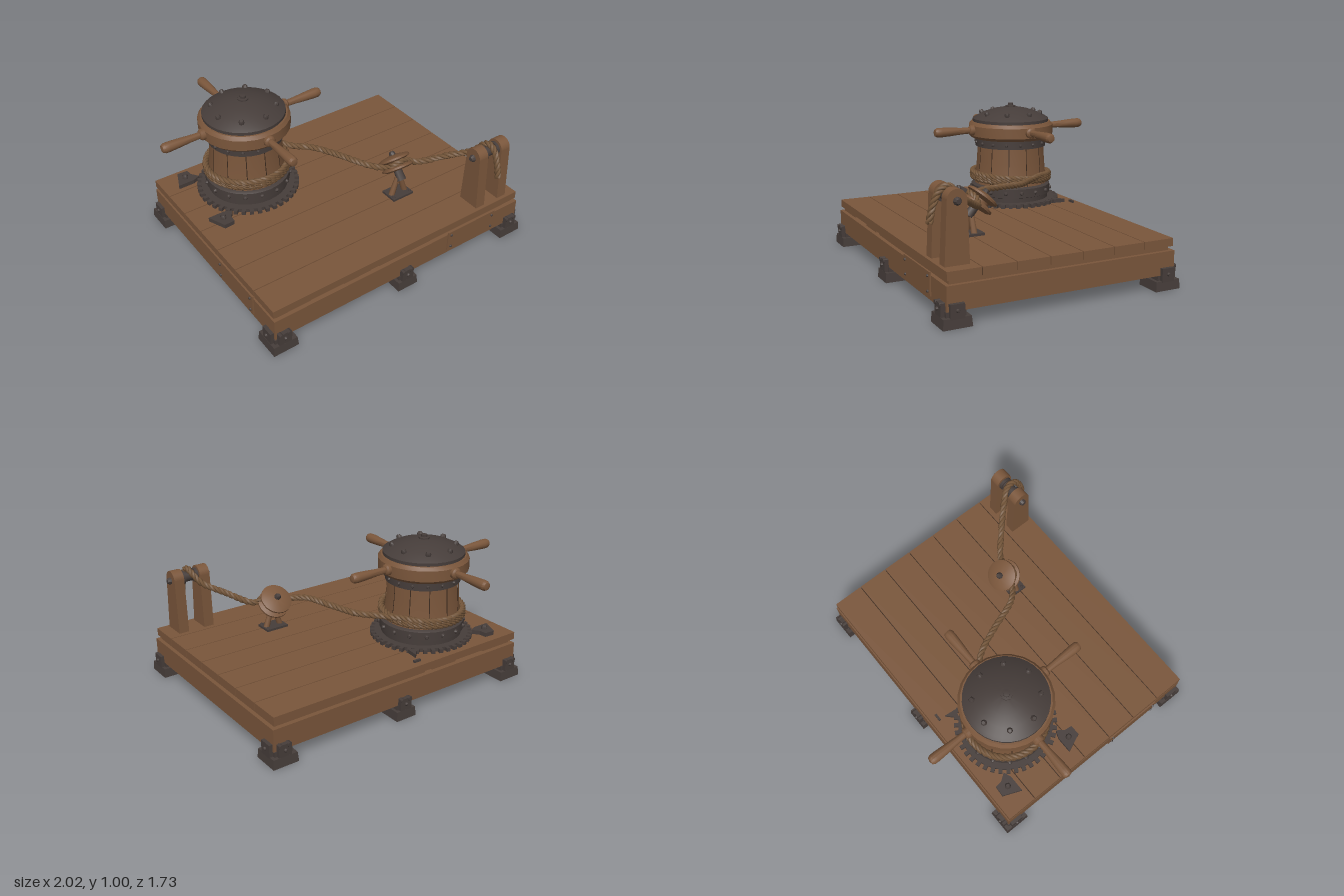
import * as THREE from 'three';
import { toCreasedNormals } from 'three/addons/utils/BufferGeometryUtils.js';

const wood = new THREE.MeshStandardMaterial({ color: 0x7a563b });
wood.name = 'wood';
const iron = new THREE.MeshStandardMaterial({ color: 0x463d3a });
iron.name = 'iron';
const hemp = new THREE.MeshStandardMaterial({ color: 0x735539 });
hemp.name = 'hemp';
const seam = new THREE.MeshStandardMaterial({ color: 0x3a291d });
seam.name = 'dark seam';

function add(parent, name, geo, mat, x = 0, y = 0, z = 0) {
  const m = new THREE.Mesh(geo, mat);
  m.name = name;
  m.position.set(x, y, z);
  parent.add(m);
  return m;
}
// box given by its minimum and maximum corners
function block(parent, name, mat, [x0, y0, z0], [x1, y1, z1]) {
  return add(parent, name, new THREE.BoxGeometry(x1 - x0, y1 - y0, z1 - z0), mat,
    (x0 + x1) / 2, (y0 + y1) / 2, (z0 + z1) / 2);
}
function lathe(pts, seg = 32, start = 0, len = Math.PI * 2) {
  const g = new THREE.LatheGeometry(pts.map(p => new THREE.Vector2(...p)), seg, start, len);
  return toCreasedNormals(g, 0.6);
}
function bolt(parent, x, y, z, r = 0.014, dir = [0, 1, 0]) {
  const m = add(parent, 'bolt', lathe([[r, -r], [r, r * 0.4], [r * 0.6, r], [0, r]], 8), iron, x, y, z);
  m.quaternion.setFromUnitVectors(new THREE.Vector3(0, 1, 0), new THREE.Vector3(...dir).normalize());
}
// three strands twisted around a path
function rope(parent, name, pts, radius, n) {
  const curve = new THREE.CatmullRomCurve3(pts.map(p => new THREE.Vector3(...p)));
  curve.arcLengthDivisions = 1000;
  const length = curve.getLength();
  const { normals, binormals } = curve.computeFrenetFrames(n);
  for (let k = 0; k < 3; k++) {
    const strand = [];
    for (let i = 0; i <= n; i++) {
      const a = (i / n) * length / 0.11 * Math.PI * 2 + k * Math.PI * 2 / 3;
      strand.push(curve.getPointAt(i / n)
        .addScaledVector(normals[i], Math.cos(a) * radius * 0.5)
        .addScaledVector(binormals[i], Math.sin(a) * radius * 0.5));
    }
    add(parent, name, new THREE.TubeGeometry(new THREE.CatmullRomCurve3(strand), n, radius * 0.55, 6), hemp);
  }
}

function buildPlatform() {
  const g = new THREE.Group();
  g.name = 'platform';
  block(g, 'baseFrame', wood, [-0.925, 0.09, -0.65], [0.975, 0.235, 0.835]);
  for (const [a, b] of [[-0.9, -0.66], [-0.42, -0.22], [-0.16, 0.95]])
    block(g, 'joist', wood, [a, 0.235, -0.62], [b, 0.26, 0.81]);
  for (let i = 0; i < 7; i++) {
    const z = -0.647 + i * 0.211;
    block(g, 'plank', wood, [-0.925, 0.26, z + 0.003], [0.965, 0.31, z + 0.208]);
  }
  block(g, 'plankSeam', seam, [-0.915, 0.262, -0.64], [0.955, 0.303, 0.82]);
  // repair panels on the front and on one side
  block(g, 'frontPanel', wood, [0.37, 0.115, 0.835], [0.765, 0.255, 0.844]);
  block(g, 'sidePanel', wood, [-0.934, 0.115, 0.21], [-0.925, 0.255, 0.61]);
  for (const y of [0.14, 0.23]) {
    for (const x of [0.395, 0.74]) bolt(g, x, y, 0.844, 0.009, [0, 0, 1]);
    for (const z of [0.235, 0.585]) bolt(g, -0.934, y, z, 0.009, [-1, 0, 0]);
  }
  // iron feet with clamps on the outer faces
  for (const s of [-1, 1]) {
    const face = s > 0 ? 0.835 : -0.65;
    for (const [x, side] of [[-0.87, -1], [0.035, 0], [0.915, 1]]) {
      const w = side ? 0.085 : 0.075;
      const z = face - s * 0.055;
      const pad = add(g, 'footPad', new THREE.CylinderGeometry(0.94 * Math.SQRT1_2, Math.SQRT1_2, 0.06, 4).rotateY(Math.PI / 4).toNonIndexed(), iron, x, 0.03, z);
      pad.geometry.computeVertexNormals();
      pad.scale.set(w * 2, 1, 0.175);
      block(g, 'footBlock', iron, [x - w * 0.7, 0.05, z - 0.06], [x + w * 0.7, 0.092, z + 0.06]);
      add(g, 'footClamp', new THREE.BoxGeometry(0.085, 0.085, 0.03), iron, x, 0.095, face + s * 0.012);
      for (const d of [-0.028, 0.028])
        add(g, 'clampLug', new THREE.CylinderGeometry(0.014, 0.014, 0.035, 8).rotateX(Math.PI / 2), iron, x + d, 0.128, face + s * 0.015);
      bolt(g, x, 0.1, face + s * 0.027, 0.012, [0, 0, s]);
      if (side) {
        const fx = side > 0 ? 0.975 : -0.925;
        add(g, 'footClamp', new THREE.BoxGeometry(0.03, 0.085, 0.085), iron, fx + side * 0.008, 0.095, z);
        bolt(g, fx + side * 0.022, 0.1, z, 0.012, [side, 0, 0]);
      }
    }
  }
  return g;
}

function buildCapstan() {
  const g = new THREE.Group();
  g.name = 'capstan';
  g.position.set(-0.425, 0, -0.27);
  // toothed ring
  add(g, 'gearRing', lathe([[0, 0.305], [0.31, 0.305], [0.31, 0.335], [0, 0.335]], 48), iron);
  for (let i = 0; i < 40; i++) {
    const a = i / 40 * Math.PI * 2;
    add(g, 'gearTooth', new THREE.BoxGeometry(0.05, 0.026, 0.026), iron,
      Math.cos(a) * 0.313, 0.322, Math.sin(a) * 0.313).rotation.y = -a;
  }
  add(g, 'lowerBand', lathe([[0.265, 0.33], [0.265, 0.365], [0.278, 0.37], [0.278, 0.43], [0.26, 0.44], [0.24, 0.44]]), iron);
  add(g, 'drumCore', lathe([[0.245, 0.43], [0.23, 0.57], [0.222, 0.71]], 24), seam);
  // staves with narrow seams between them
  const step = Math.PI / 6;
  for (let i = 0; i < 12; i++)
    add(g, 'stave', lathe([[0.257, 0.43], [0.247, 0.5], [0.238, 0.6], [0.232, 0.71]], 2, i * step + 0.012, step - 0.024), wood);
  add(g, 'upperBand', lathe([[0.225, 0.7], [0.246, 0.7], [0.246, 0.755], [0.225, 0.765]]), iron);
  add(g, 'crown', lathe([[0.23, 0.755], [0.275, 0.76], [0.295, 0.78], [0.295, 0.85], [0.278, 0.872], [0, 0.872]], 24), wood);
  add(g, 'dome', lathe([[0.266, 0.868], [0.266, 0.892], [0.245, 0.905], [0.19, 0.932], [0.12, 0.955], [0.05, 0.968], [0, 0.97]]), iron);
  add(g, 'domeKnob', lathe([[0.036, 0.96], [0.036, 0.978], [0.02, 0.98], [0.02, 0.995], [0, 0.998]], 8), iron);
  for (let i = 0; i < 16; i++) {
    const a = (i + 0.5) / 8 * Math.PI, c = Math.cos(a), s = Math.sin(a);
    if (i % 2) bolt(g, c * 0.205, 0.928, s * 0.205, 0.018, [c * 0.4, 1, s * 0.4]);
    bolt(g, c * 0.278, 0.4, s * 0.278, 0.014, [c, 0, s]);
    bolt(g, c * 0.246, 0.728, s * 0.246, 0.011, [c, 0, s]);
  }
  // turning handles
  const handle = lathe([[0.037, 0.27], [0.037, 0.31], [0.028, 0.32], [0.021, 0.322], [0.023, 0.38], [0.029, 0.46],
    [0.033, 0.53], [0.032, 0.56], [0.024, 0.575], [0, 0.582]], 14).rotateZ(-Math.PI / 2);
  for (let i = 0; i < 4; i++) add(g, 'handle', handle, wood, 0, 0.82, 0).rotation.y = i * Math.PI / 2;
  // anchor plates beside the gear
  for (const s of [-1, 1]) {
    const shape = new THREE.Shape([[-0.41, 0.2], [-0.36, 0.32], [-0.29, 0.315], [-0.285, 0.27], [-0.25, 0.22], [-0.3, 0.2]]
      .map(([x, z]) => new THREE.Vector2(x, s * z)));
    const geo = new THREE.ExtrudeGeometry(shape, { depth: 0.03, bevelEnabled: false }).rotateX(Math.PI / 2);
    add(g, 'anchorPlate', geo, iron, 0, 0.338, 0);
    bolt(g, -0.335, 0.345, s * 0.255, 0.02);
  }
  const spike = new THREE.Shape([[0.22, -0.22], [0.285, -0.28], [0.275, -0.19]].map(p => new THREE.Vector2(...p)));
  add(g, 'pawl', new THREE.ExtrudeGeometry(spike, { depth: 0.025, bevelEnabled: false }).rotateX(Math.PI / 2), iron, 0, 0.335, 0);
  block(g, 'pawlPin', iron, [0.285, 0.31, -0.33], [0.335, 0.325, -0.315]);
  return g;
}

function buildPulley() {
  const g = new THREE.Group();
  g.name = 'pulley';
  const wheel = add(g, 'pulleyWheel', lathe([[0, -0.045], [0.085, -0.045], [0.105, -0.036], [0.105, -0.024], [0.062, -0.006],
    [0.062, 0.006], [0.105, 0.024], [0.105, 0.036], [0.085, 0.045], [0.035, 0.055], [0, 0.055]], 28), wood, 0.335, 0.515, 0.335);
  wheel.rotation.x = -0.7;
  bolt(g, 0.335, 0.56, 0.298, 0.022, [0, 0.77, -0.64]);
  const axle = add(g, 'pulleyAxle', new THREE.CylinderGeometry(0.028, 0.032, 0.08, 8), iron, 0.33, 0.455, 0.385);
  axle.rotation.x = -0.7;
  block(g, 'pulleyPlate', iron, [0.24, 0.31, 0.33], [0.4, 0.325, 0.45]);
  for (const s of [-1, 1]) {
    const leg = add(g, 'pulleyLeg', new THREE.CylinderGeometry(0.016, 0.021, 0.13, 8), wood, 0.32 + s * 0.032, 0.38, 0.39);
    leg.rotation.z = s * 0.32;
    bolt(g, 0.32 + s * 0.065, 0.327, 0.43, 0.01);
  }
  return g;
}

function buildRollerStand() {
  const g = new THREE.Group();
  g.name = 'rollerStand';
  const side = new THREE.Shape();
  side.moveTo(0.655, 0.31);
  side.lineTo(0.805, 0.31);
  side.lineTo(0.787, 0.67);
  side.absarc(0.728, 0.672, 0.059, 0, Math.PI, false);
  side.lineTo(0.655, 0.31);
  const post = new THREE.ExtrudeGeometry(side, { depth: 0.07, bevelEnabled: false, curveSegments: 12 }).rotateY(-Math.PI / 2);
  for (const x of [0.7, 0.885]) add(g, 'post', post, wood, x);
  for (const [x, s] of [[0.63, -1], [0.885, 1]]) bolt(g, x, 0.665, 0.728, 0.024, [s, 0, 0]);
  add(g, 'roller', new THREE.CylinderGeometry(0.034, 0.034, 0.14, 16).rotateZ(Math.PI / 2), iron, 0.757, 0.67, 0.728);
  for (const x of [0.712, 0.803])
    add(g, 'rollerFlange', new THREE.CylinderGeometry(0.046, 0.046, 0.02, 16).rotateZ(Math.PI / 2), iron, x, 0.67, 0.728);
  return g;
}

export function createModel() {
  const model = new THREE.Group();
  model.name = 'deckCapstan';
  model.add(buildPlatform(), buildCapstan(), buildPulley(), buildRollerStand());
  // rope: coils on the drum, then around the pulley and over the roller
  const path = [];
  for (let i = 0; i <= 46; i++) {
    const a = (i - 47) / 16 * Math.PI * 2;
    path.push([-0.425 + Math.cos(a) * 0.268, 0.468 + i * 0.001 + 0.012 * Math.sin(a), -0.27 + Math.sin(a) * 0.268]);
  }
  path.push([-0.1, 0.5, -0.24], [0, 0.505, -0.13], [0.08, 0.52, 0.05], [0.145, 0.53, 0.23], [0.2, 0.52, 0.3],
    [0.26, 0.515, 0.34], [0.285, 0.55, 0.38], [0.335, 0.565, 0.393], [0.39, 0.545, 0.385], [0.45, 0.515, 0.4],
    [0.6, 0.58, 0.53], [0.71, 0.64, 0.64], [0.75, 0.7, 0.69], [0.757, 0.722, 0.728], [0.757, 0.7, 0.775],
    [0.757, 0.62, 0.815], [0.757, 0.525, 0.838]);
  rope(model, 'rope', path, 0.021, 700);
  return model;
}
